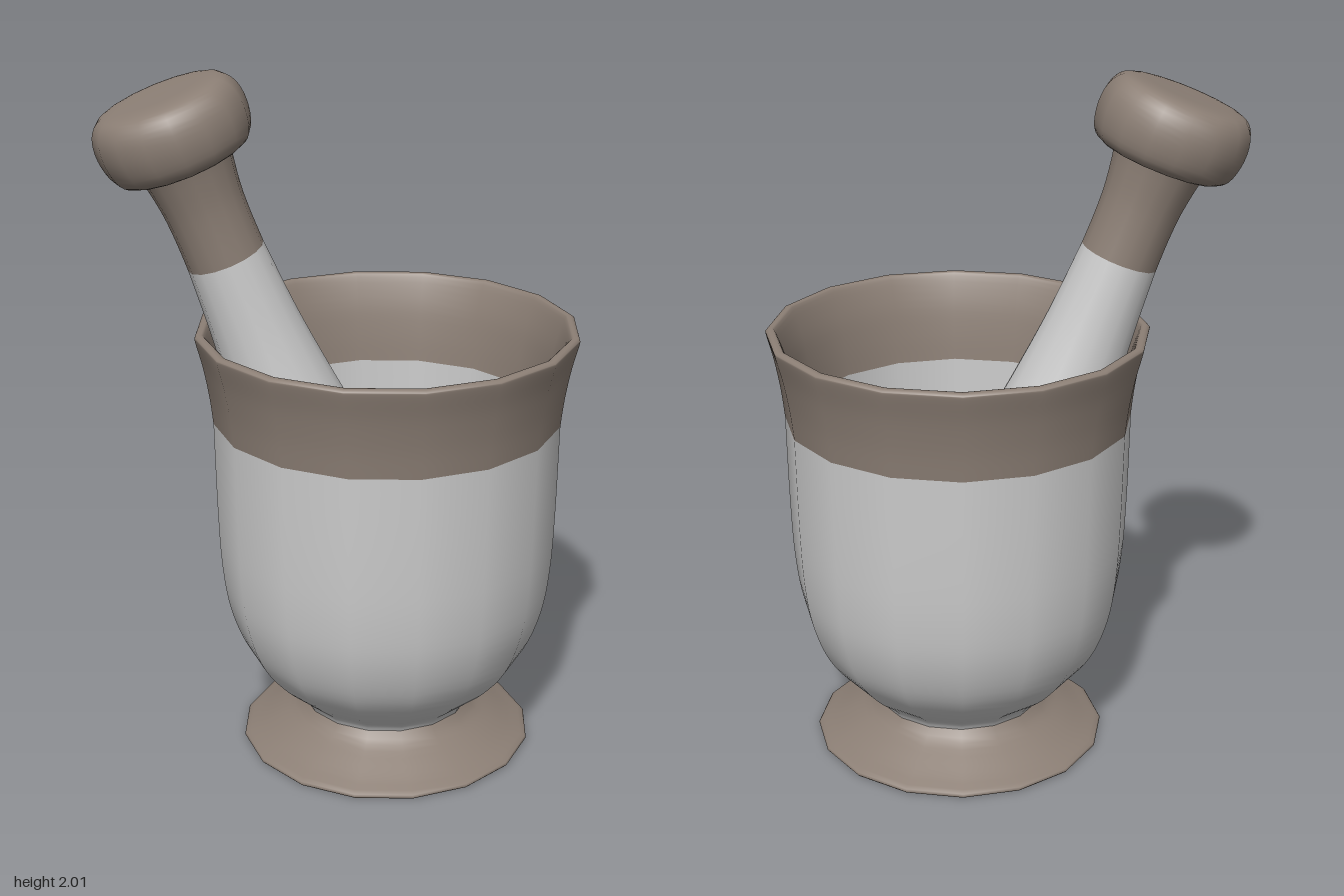
import * as THREE from 'three';

const SIDES = 16;
const stone = new THREE.MeshStandardMaterial({ color: 0xcccccc });
const brown = new THREE.MeshStandardMaterial({ color: 0x8c7f75 });

// Turned piece: a smooth curve through [radius, height] points
function turned(name, points, material, samples = 0) {
  let profile = points.map(([r, y]) => new THREE.Vector2(r, y));
  if (samples) profile = new THREE.SplineCurve(profile).getPoints(samples);
  profile.forEach((p) => { p.x = Math.max(p.x, 0); });
  const mesh = new THREE.Mesh(new THREE.LatheGeometry(profile, SIDES), material);
  mesh.name = name;
  return mesh;
}

function createMortar() {
  const mortar = new THREE.Group();
  mortar.name = 'mortar';
  mortar.add(
    // hollow underside of the foot
    turned('footCentre', [[0, 0.12], [0.135, 0.12]], stone),
    turned('footUnderside', [[0.135, 0.12], [0.4, 0.015], [0.425, 0]], brown),
    // flared foot
    turned('foot', [[0.425, 0], [0.43, 0.012], [0.385, 0.032], [0.33, 0.06],
      [0.275, 0.09], [0.25, 0.12]], brown, 14),
    // outer wall
    turned('bowlOutside', [[0.25, 0.12], [0.27, 0.15], [0.34, 0.21], [0.415, 0.305],
      [0.463, 0.43], [0.485, 0.57], [0.494, 0.75], [0.499, 1.02]], stone, 28),
    // brown band over the lip and down the inside
    turned('rimBand', [[0.499, 1.02], [0.508, 1.1], [0.524, 1.19], [0.543, 1.265],
      [0.543, 1.28], [0.53, 1.285], [0.515, 1.273], [0.488, 1.19], [0.472, 1.1], [0.463, 1.02]],
      brown, 36),
    // inner wall and floor
    turned('bowlInside', [[0.463, 1.02], [0.456, 0.75], [0.445, 0.57], [0.42, 0.44],
      [0.365, 0.32], [0.27, 0.22], [0.14, 0.175], [0, 0.165]], stone, 28),
  );
  mortar.position.set(0.05, 0, -0.025);
  return mortar;
}

function createPestle() {
  const pestle = new THREE.Group();
  pestle.name = 'pestle';
  pestle.add(
    // grinding bulb tapering into the shaft
    turned('pestleBulb', [[0, 0], [0.09, 0.015], [0.165, 0.07], [0.21, 0.16], [0.222, 0.27],
      [0.215, 0.45], [0.188, 0.7], [0.153, 0.95], [0.127, 1.17], [0.112, 1.39]], stone, 36),
    // grip
    turned('pestleGrip', [[0.112, 1.39], [0.111, 1.48], [0.115, 1.57], [0.13, 1.67],
      [0.14, 1.7]], brown, 12),
    // rounded knob
    turned('pestleKnob', [[0.12, 1.685], [0.165, 1.675], [0.2, 1.7], [0.216, 1.76],
      [0.211, 1.82], [0.185, 1.86], [0.14, 1.873], [0.07, 1.875], [0, 1.875]], brown, 28),
  );
  // leaning against the front right of the rim
  const axis = new THREE.Vector3(-0.265, 1, 0.27).normalize();
  pestle.quaternion.setFromUnitVectors(new THREE.Vector3(0, 1, 0), axis);
  pestle.position.set(0.051, 0.2, -0.087);
  return pestle;
}

export function createModel() {
  const model = new THREE.Group();
  model.name = 'mortarAndPestle';
  model.add(createMortar(), createPestle());
  return model;
}
